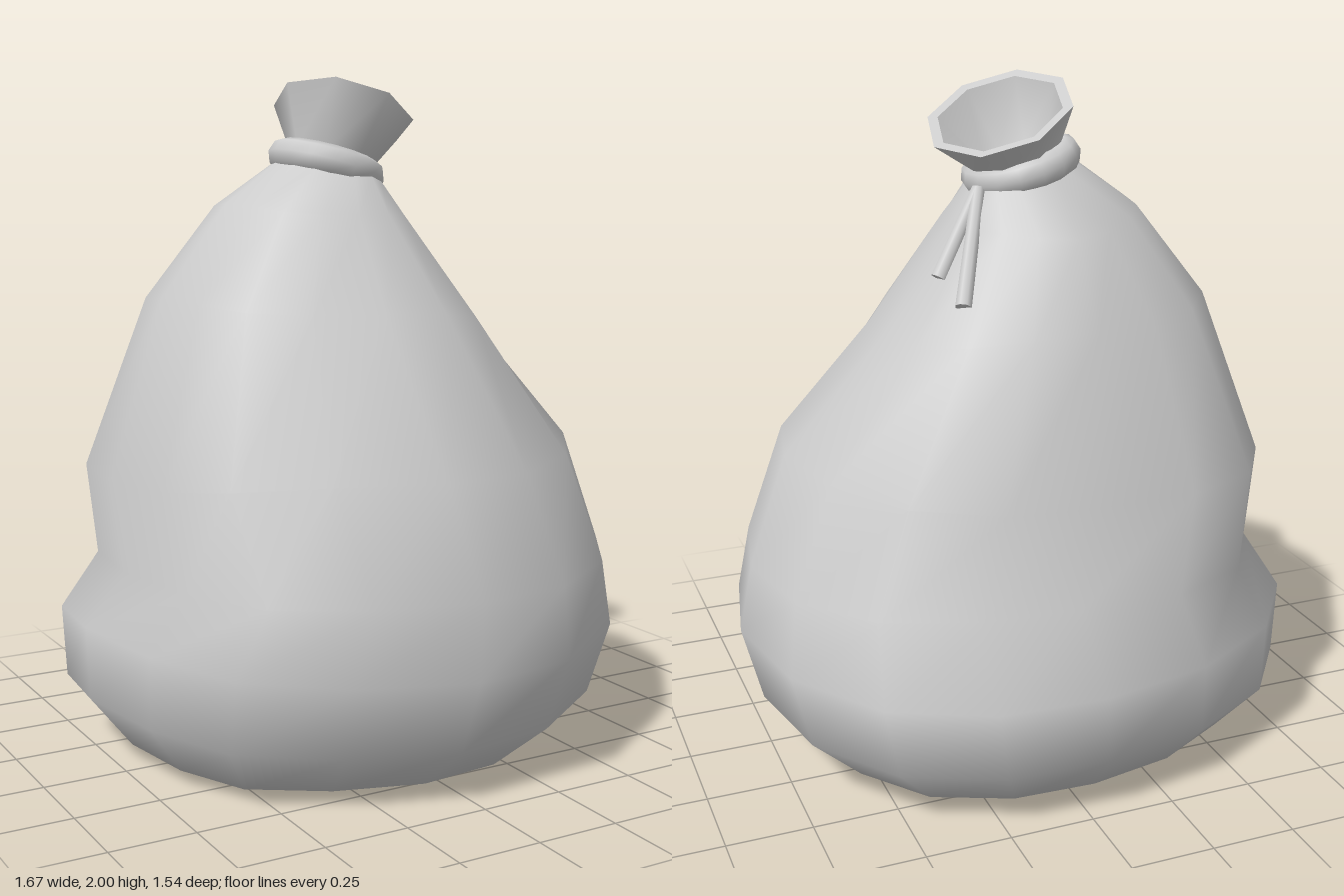
import * as THREE from 'three';

// Skin a stack of closed rings (each an array of Vector3) with smooth normals
function loft(rings) {
  const n = rings[0].length, pos = [], idx = [];
  rings.forEach((r) => r.forEach((p) => pos.push(p.x, p.y, p.z)));
  for (let k = 0; k < rings.length - 1; k++) {
    for (let i = 0; i < n; i++) {
      const a = k * n + i, b = k * n + (i + 1) % n;
      idx.push(a, a + n, b, b, a + n, b + n);
    }
  }
  const g = new THREE.BufferGeometry();
  g.setAttribute('position', new THREE.Float32BufferAttribute(pos, 3));
  g.setIndex(idx);
  g.computeVertexNormals();
  return g;
}

// Uneven 16-sided plan of the sack, in units of its half width and half depth
const PLAN = [
  [1, -0.065], [0.92, 0.365], [0.69, 0.73], [0.345, 0.965],
  [-0.035, 1], [-0.43, 0.875], [-0.765, 0.68], [-0.93, 0.355],
  [-1, -0.08], [-0.965, -0.455], [-0.765, -0.74], [-0.43, -0.925],
  [-0.035, -1], [0.345, -0.985], [0.69, -0.83], [0.92, -0.505],
];

// Ring given by its extents, its heights at the -x, +x, front and back edges,
// and how far each corner swells in depth (+x+z, -x+z, -x-z, +x-z)
function sackRing([x0, x1, zb, zf, y0, y1, yf, yb, swell = [0, 0, 0, 0]]) {
  return PLAN.map(([px, pz], i) => {
    const a = (i / PLAN.length) * Math.PI * 2, c = Math.cos(a), s = Math.sin(a);
    const yx = (y0 + y1) / 2 + ((y1 - y0) / 2) * c;
    const yz = (yf + yb) / 2 + ((yf - yb) / 2) * s;
    const k = 1 + swell[Math.floor(i / 4)] * Math.abs(2 * c * s);
    return new THREE.Vector3(
      (x0 + x1) / 2 + ((x1 - x0) / 2) * px,
      c * c * yx + s * s * yz,
      (zb + zf) / 2 + ((zf - zb) / 2) * pz * k);
  });
}

// Ring on a sloping plane, for the gathered mouth
function mouthRing(cx, cy, cz, r, slopeX, slopeZ) {
  return Array.from({ length: 8 }, (_, i) => {
    const a = (i / 8) * Math.PI * 2 - 0.17;
    const x = r * Math.cos(a), z = r * Math.sin(a);
    return new THREE.Vector3(cx + x, cy + slopeX * x + slopeZ * z, cz + z);
  });
}

export function createModel() {
  const group = new THREE.Group();
  group.name = 'tiedSack';
  const cloth = new THREE.MeshStandardMaterial({ color: 0xcccccc });
  cloth.name = 'grey cloth';
  const add = (name, geometry, parent = group) => {
    const m = new THREE.Mesh(geometry, cloth);
    m.name = name;
    parent.add(m);
    return m;
  };

  // Sagging body, with a fold pressed into one side above the base
  add('body', loft([
    [-0.02, -0.02, -0.03, -0.03, 0.005, 0.005, 0.005, 0.005],
    [-0.42, 0.34, -0.38, 0.34, 0.015, 0.005, 0.002, 0.002],
    [-0.70, 0.61, -0.61, 0.55, 0.05, 0.03, 0.02, 0.02],
    [-0.825, 0.78, -0.755, 0.71, 0.21, 0.20, 0.16, 0.18],
    [-0.84, 0.835, -0.77, 0.768, 0.43, 0.42, 0.37, 0.39],
    [-0.735, 0.785, -0.65, 0.735, 0.59, 0.60, 0.58, 0.61, [0, 0.05, 0.13, -0.05]],
    [-0.77, 0.67, -0.61, 0.67, 0.86, 0.94, 0.90, 0.89, [0, -0.12, 0.12, -0.04]],
    [-0.59, 0.38, -0.46, 0.42, 1.37, 1.27, 1.34, 1.34, [0.12, -0.06, -0.03, -0.04]],
    [-0.38, 0.165, -0.33, 0.26, 1.64, 1.60, 1.61, 1.58, [0, 0.1, -0.05, -0.14]],
    [-0.20, 0.11, -0.21, 0.12, 1.77, 1.68, 1.72, 1.71, [0, 0.1, 0, -0.14]],
    [-0.17, 0.07, -0.16, 0.08, 1.79, 1.72, 1.755, 1.75],
  ].map(sackRing)));

  // Thick cord wound around the neck
  const collar = add('neckCord',
    new THREE.TorusGeometry(0.14, 0.039, 8, 16).rotateX(Math.PI / 2).scale(1, 1.2, 1));
  collar.position.set(-0.055, 1.748, -0.045);
  collar.rotation.z = -0.28;

  // Flared mouth: outer wall, flat rim and hollow inside
  const mouth = new THREE.Group();
  mouth.name = 'mouth';
  group.add(mouth);
  const base = mouthRing(-0.04, 1.77, -0.048, 0.125, -0.3, 0.02);
  const lip = mouthRing(0.025, 1.908, -0.083, 0.212, -0.34, 0.3);
  const innerLip = mouthRing(0.025, 1.906, -0.083, 0.182, -0.34, 0.3);
  const innerBase = mouthRing(-0.04, 1.78, -0.048, 0.1, -0.3, 0.02);
  const floor = mouthRing(-0.04, 1.77, -0.048, 0, 0, 0);
  add('mouthOuter', loft([base, lip]), mouth);
  add('mouthRim', loft([lip, innerLip]), mouth);
  add('mouthInner', loft([innerLip, innerBase, floor]), mouth);

  // Two loose cord ends hanging from the knot
  const knot = new THREE.Vector3(0.1, 1.7, -0.11);
  [[0.24, 1.465, -0.165], [0.212, 1.408, -0.288]].forEach((p, i) => {
    const dir = new THREE.Vector3(...p).sub(knot);
    const end = add('cordEnd' + (i + 1), new THREE.CylinderGeometry(0.02, 0.025, dir.length(), 8));
    end.position.copy(knot).addScaledVector(dir, 0.5);
    end.quaternion.setFromUnitVectors(new THREE.Vector3(0, -1, 0), dir.normalize());
  });

  return group;
}
